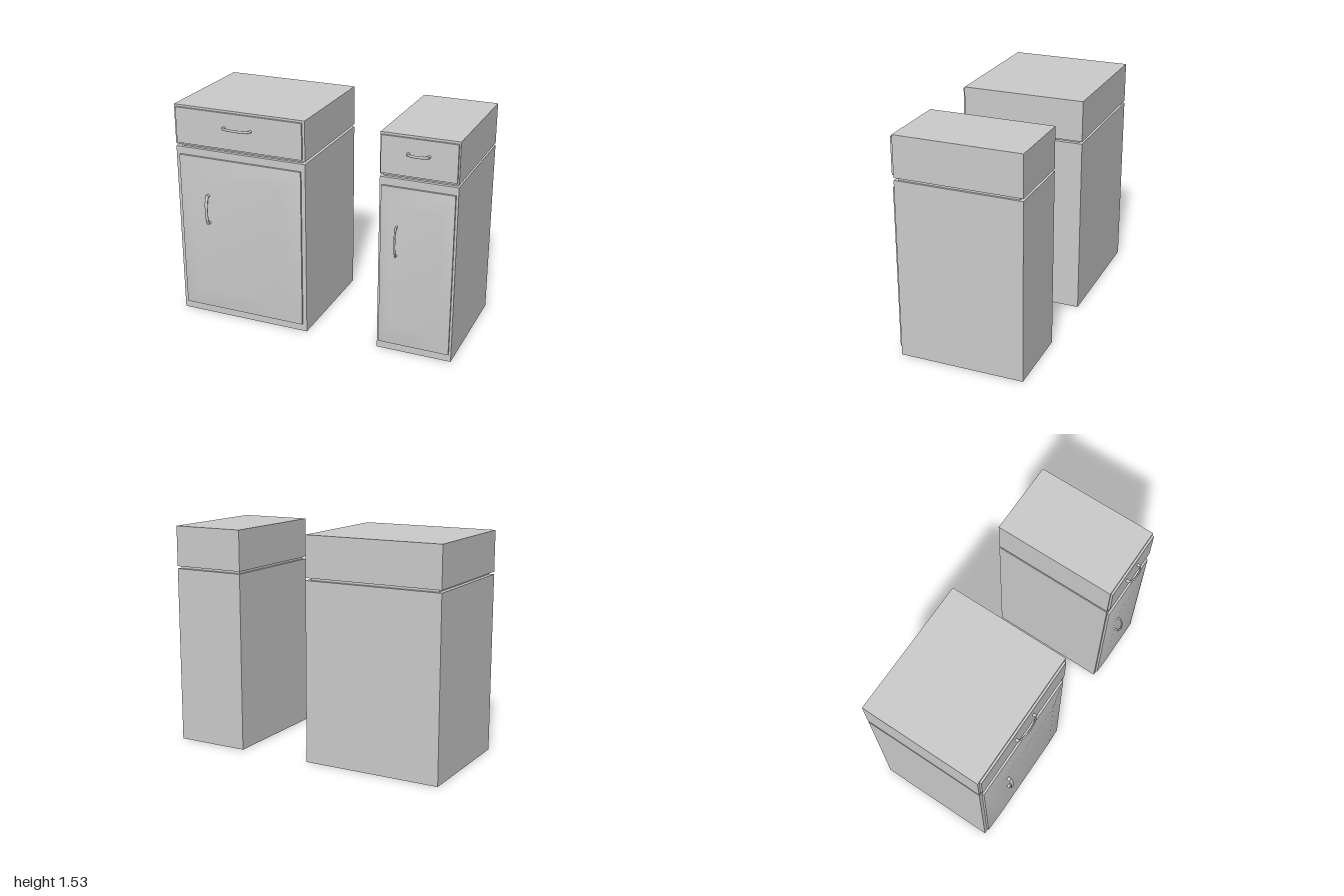
import * as THREE from 'three';

const material = new THREE.MeshStandardMaterial({ color: 0xcccccc });

function add(group, name, geometry) {
  const mesh = new THREE.Mesh(geometry, material);
  mesh.name = name;
  group.add(mesh);
  return mesh;
}

// Box given by its limits on each axis
function block(group, name, [x0, x1], [y0, y1], [z0, z1]) {
  const mesh = add(group, name, new THREE.BoxGeometry(x1 - x0, y1 - y0, z1 - z0));
  mesh.position.set((x0 + x1) / 2, (y0 + y1) / 2, (z0 + z1) / 2);
  return mesh;
}

// Raised field: outer rectangle sloping up to an inner one, softly shaded
function raisedPanel(outer, inner, z0, z1) {
  const ring = ([x0, x1, y0, y1], z) => [x0, y0, z, x1, y0, z, x1, y1, z, x0, y1, z];
  const geometry = new THREE.BufferGeometry();
  geometry.setAttribute('position',
    new THREE.Float32BufferAttribute([...ring(outer, z0), ...ring(inner, z1)], 3));
  const index = [4, 5, 6, 4, 6, 7];
  for (let i = 0; i < 4; i++) {
    const j = (i + 1) % 4;
    index.push(i, j, j + 4, i, j + 4, i + 4);
  }
  geometry.setIndex(index);
  geometry.computeVertexNormals();
  return geometry;
}

// Bow handle lying along x and bulging towards +z, with two round feet
function handle(name, length, width, depth) {
  const group = new THREE.Group();
  group.name = name;
  const footRadius = 0.01;
  const half = length / 2 - footRadius;
  const barRadius = 0.006;
  const points = [];
  for (let i = 0; i <= 8; i++) {
    const t = -1 + i / 4;
    points.push(new THREE.Vector3(t * half, 0,
      0.014 + (depth - barRadius - 0.014) * Math.sqrt(1 - 0.96 * t * t)));
  }
  const bar = add(group, 'handleBar',
    new THREE.TubeGeometry(new THREE.CatmullRomCurve3(points), 32, barRadius, 10));
  bar.scale.y = width * 0.9 / (2 * barRadius);
  for (const side of [-1, 1]) {
    const foot = add(group, 'handleFoot',
      new THREE.CylinderGeometry(footRadius * 0.9, footRadius, 0.024, 16));
    foot.rotation.x = Math.PI / 2;
    foot.scale.x = 1;
    foot.scale.z = width / (2 * footRadius);
    foot.position.set(side * half, 0, 0.012);
  }
  return group;
}

function cabinet(name, c) {
  const group = new THREE.Group();
  group.name = name;
  const [x0, x1] = c.x;
  const front = 0.385, face = 0.4, back = -0.47;

  // Carcass, recessed neck and drawer box
  block(group, 'lowerCarcass', c.x, [0, 1.233], [back, front]);
  block(group, 'recessedNeck', [x0 + c.neck, x1 - c.neck], [1.233, 1.25], [back + 0.025, front - 0.025]);
  block(group, 'drawerCarcass', c.x, [1.25, 1.53], [back, front]);

  // Drawer front and its handle
  block(group, 'drawerFront', [x0 + c.drawerInset, x1 - c.drawerInset], [1.264, 1.515], [front, face]);
  const drawerHandle = handle('drawerHandle', c.drawerHandleLength, 0.02, 0.045);
  drawerHandle.position.set((x0 + x1) / 2, 1.413, face);
  group.add(drawerHandle);

  // Door slab with raised field
  const d0 = x0 + c.doorInset, d1 = x1 - c.doorInset;
  block(group, 'doorSlab', [d0, d1], [0.055, 1.18], [front, face]);
  add(group, 'doorRaisedPanel', raisedPanel(
    [d0, d1, 0.055, 1.18], [d0 + c.bevel, d1 - c.bevel, 0.2, 1.035], face, 0.424));

  // Door handle, turned upright
  const doorHandle = handle('doorHandle', 0.22, c.doorHandleWidth, 0.045);
  doorHandle.rotation.z = Math.PI / 2;
  doorHandle.position.set(c.doorHandleX, 0.82, 0.422);
  group.add(doorHandle);
  return group;
}

export function createModel() {
  const model = new THREE.Group();
  model.name = 'cabinetPair';
  model.add(cabinet('wideCabinet', {
    x: [-1, -0.038], neck: 0.028, drawerInset: 0.017, doorInset: 0.028, bevel: 0.145,
    drawerHandleLength: 0.215, doorHandleX: -0.747, doorHandleWidth: 0.026,
  }));
  model.add(cabinet('narrowCabinet', {
    x: [0.48, 1], neck: 0.015, drawerInset: 0.009, doorInset: 0.015, bevel: 0.078,
    drawerHandleLength: 0.155, doorHandleX: 0.615, doorHandleWidth: 0.014,
  }));
  return model;
}
